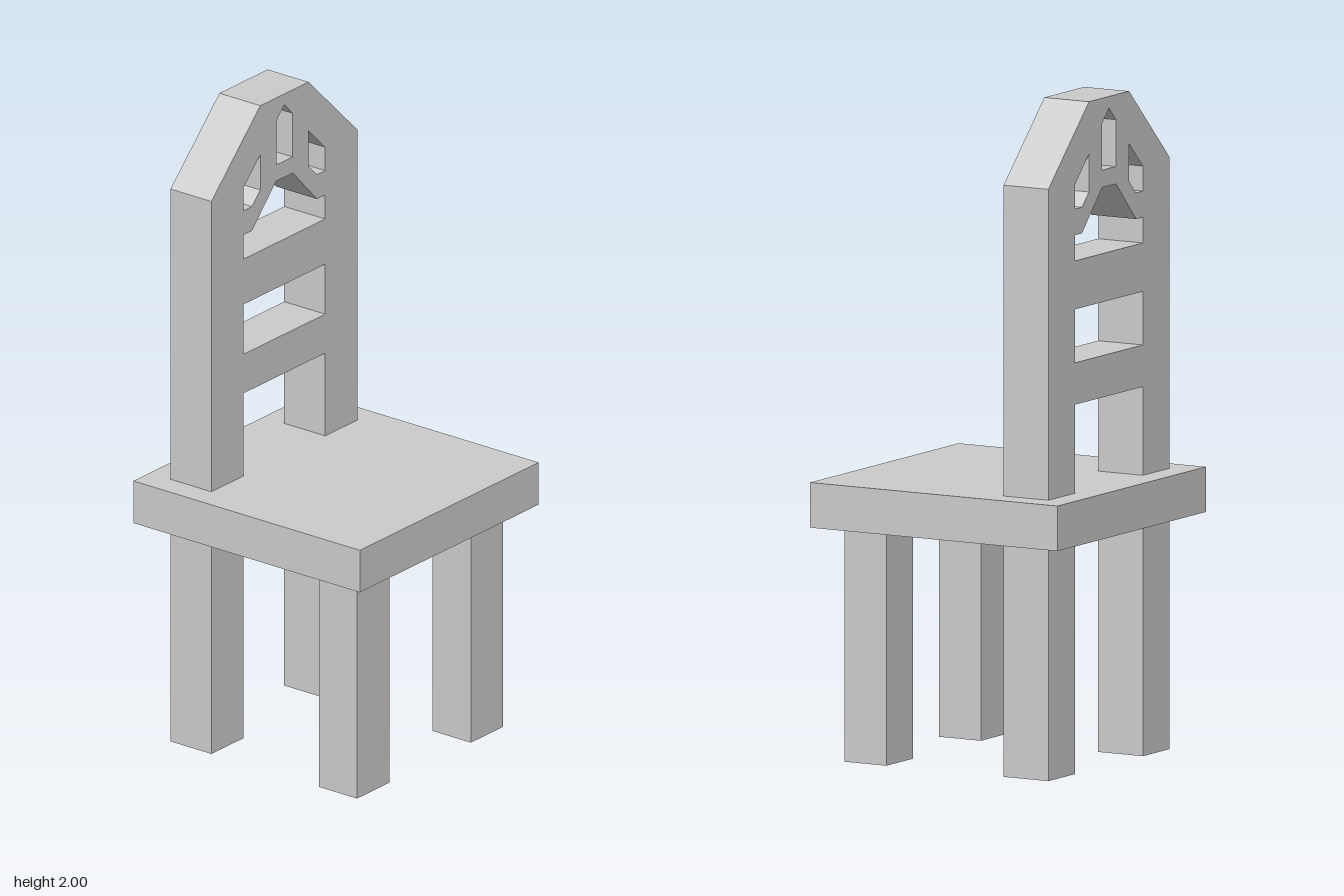
import * as THREE from 'three';

const material = new THREE.MeshStandardMaterial({ color: 0xcccccc, flatShading: true });

const SEAT_BOTTOM = 0.705, SEAT_TOP = 0.84;
const OUT = 0.348, IN = 0.194;          // outer and inner x of legs and posts
const BACK_Z = -0.348, BACK_DEPTH = 0.154;

function addBox(group, name, x0, x1, y0, y1, z0, z1) {
  const mesh = new THREE.Mesh(new THREE.BoxGeometry(x1 - x0, y1 - y0, z1 - z0), material);
  mesh.position.set((x0 + x1) / 2, (y0 + y1) / 2, (z0 + z1) / 2);
  mesh.name = name;
  group.add(mesh);
}

// Full outline from its right half, listed bottom to top
function mirrored(half) {
  const other = half.filter(([x]) => x > 0).map(([x, y]) => [-x, y]).reverse();
  return [...half, ...other].map(([x, y]) => new THREE.Vector2(x, y));
}

function createBackrest() {
  // Two posts joined under a chamfered top, open towards the seat
  const shape = new THREE.Shape(mirrored([
    [IN, 1.105], [IN, SEAT_TOP], [OUT, SEAT_TOP], [OUT, 1.77], [0.115, 2],
  ]));
  const holes = [
    // gap between the two slats
    mirrored([[IN, 1.23], [IN, 1.39]]),
    // arched gap above the upper slat
    mirrored([[IN, 1.535], [IN, 1.612], [0.155, 1.612], [0.04, 1.733]]),
    // pointed centre window
    mirrored([[0.039, 1.785], [0.039, 1.925], [0, 1.965]]),
  ];
  // slanted side windows
  for (const s of [-1, 1]) {
    holes.push([[IN, 1.69], [IN, 1.765], [0.115, 1.843], [0.115, 1.73], [0.155, 1.69]]
      .map(([x, y]) => new THREE.Vector2(s * x, y)));
  }
  for (const points of holes) shape.holes.push(new THREE.Path(points));

  const mesh = new THREE.Mesh(
    new THREE.ExtrudeGeometry(shape, { depth: BACK_DEPTH, bevelEnabled: false }), material);
  mesh.position.z = BACK_Z;
  mesh.name = 'backrest';
  return mesh;
}

export function createModel() {
  const chair = new THREE.Group();
  chair.name = 'chair';

  addBox(chair, 'seat', -0.426, 0.426, SEAT_BOTTOM, SEAT_TOP, -0.426, 0.426);
  chair.add(createBackrest());

  // Legs
  for (const [side, x0, x1] of [['Left', IN, OUT], ['Right', -OUT, -IN]]) {
    addBox(chair, `front${side}Leg`, x0, x1, 0, SEAT_BOTTOM, 0.21, 0.354);
    addBox(chair, `back${side}Leg`, x0, x1, 0, SEAT_BOTTOM, BACK_Z, BACK_Z + BACK_DEPTH);
  }
  return chair;
}
